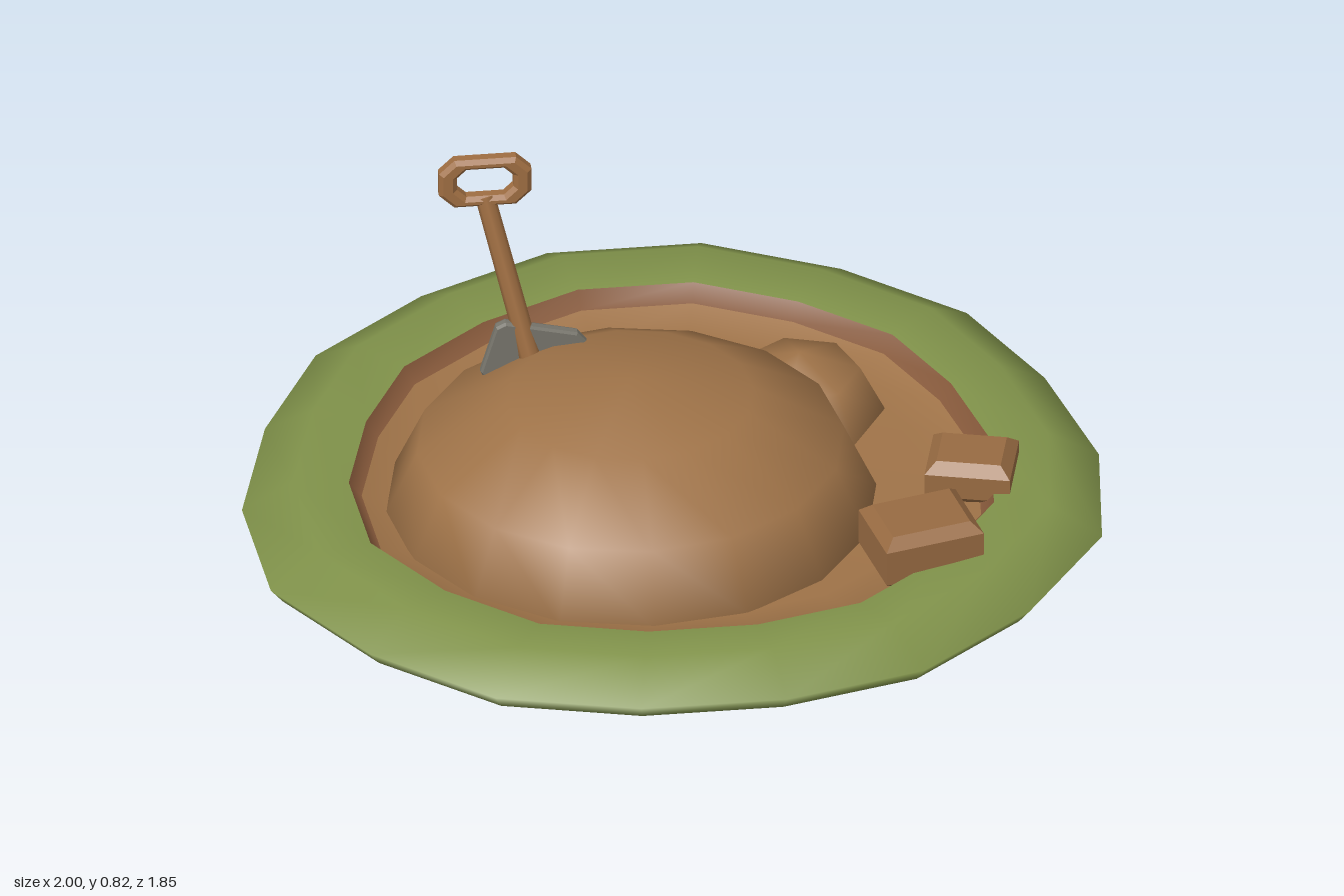
import * as THREE from 'three';

const mat = (name, color) => {
  const m = new THREE.MeshStandardMaterial({ color });
  m.name = name;
  return m;
};

// Half outline of the plot from back to front, mirrored to a closed loop
const half = [[0.18, -0.93], [0.49, -0.79], [0.76, -0.58], [0.91, -0.3], [1, 0.02],
  [0.97, 0.35], [0.77, 0.63], [0.5, 0.84], [0.17, 0.92]];
const outline = [...half, ...half.slice().reverse().map(([x, z]) => [-x, z])];

// Skin of scaled outlines; rows are [scale, height, material index of the band above]
function loft(rows) {
  const n = outline.length, pos = [], idx = [];
  const geo = new THREE.BufferGeometry();
  rows.forEach(([k, y]) => outline.forEach(([x, z]) => pos.push(x * k, y, z * k)));
  for (let i = 0; i < rows.length - 1; i++) {
    geo.addGroup(idx.length, n * 6, rows[i][2] || 0);
    for (let j = 0; j < n; j++) {
      const a = i * n + j, b = i * n + (j + 1) % n;
      idx.push(a, a + n, b, b, a + n, b + n);
    }
  }
  geo.setAttribute('position', new THREE.Float32BufferAttribute(pos, 3));
  geo.setIndex(idx);
  geo.computeVertexNormals();
  return geo;
}

const polygon = (pts) => new THREE.Shape(pts.map(([x, y]) => new THREE.Vector2(x, y)));

// Octagon with clipped corners
const octagon = (w, h, c) => [[w, h - c], [w - c, h], [c - w, h], [-w, h - c],
  [-w, c - h], [c - w, -h], [w - c, -h], [w, c - h]];

export function createModel() {
  const root = new THREE.Group();
  const grass = mat('grass green', 0x80924a);
  const soil = mat('soil brown', 0x9f7348);
  const edge = mat('red earth', 0x85583a);
  const clodMat = mat('clod brown', 0x986b42);
  const wood = mat('wood brown', 0x9f6e42);
  const metal = mat('metal grey', 0x77756c);

  const add = (name, geo, material, x = 0, y = 0, z = 0) => {
    const m = new THREE.Mesh(geo, material);
    m.name = name;
    m.position.set(x, y, z);
    root.add(m);
    return m;
  };

  // Grass rim with closed underside, and the sunken pit
  add('grassRim', loft([[0, 0], [0.97, 0], [1, 0.04], [0.88, 0.11], [0.75, 0.095]]), [grass]);
  add('pit', loft([[0.75, 0.095, 0], [0.72, 0.055, 1], [0.6, 0.036, 1], [0, 0.033]]), [edge, soil]);

  // Heaps of soil
  const dome = (name, sides, rows, x, z, rx, ry, rz, turn) => {
    const geo = new THREE.SphereGeometry(1, sides, rows, 0, Math.PI * 2, 0, Math.PI / 2);
    geo.rotateY(turn);
    add(name, geo, soil, x, 0.034, z).scale.set(rx, ry, rz);
  };
  dome('largeMound', 16, 3, -0.1, 0.075, 0.575, 0.346, 0.525, 0);
  dome('smallMound', 7, 2, 0.33, -0.24, 0.2, 0.168, 0.185, 0.37);

  // Bevelled clods of earth
  const clod = (name, w, h, d, x, y, z, turn) => {
    const b = 0.025, a = w / 2 - b, c = d / 2 - b;
    const geo = new THREE.ExtrudeGeometry(polygon([[-a, -c], [a, -c], [a, c], [-a, c]]),
      { depth: h - 2 * b, bevelEnabled: true, bevelThickness: b, bevelSize: b, bevelSegments: 1 });
    geo.translate(0, 0, b);
    geo.rotateX(-Math.PI / 2);
    add(name, geo, clodMat, x, y, z).rotation.y = turn;
  };
  clod('largeClod', 0.24, 0.14, 0.19, 0.54, 0.05, 0.42, 0.24);
  clod('smallClod', 0.2, 0.11, 0.165, 0.69, 0.05, 0.135, -0.24);

  // Spade blade stuck in the mound
  const blade = polygon([[-0.42, 0.27], [-0.385, 0.39], [-0.365, 0.4], [-0.2, 0.36],
    [-0.18, 0.335], [-0.22, 0.2], [-0.36, 0.16]].reverse());
  add('spadeBlade', new THREE.ExtrudeGeometry(blade,
    { depth: 0.014, bevelThickness: 0.008, bevelSize: 0.004, bevelSegments: 1 }), metal, 0, 0, -0.162);

  // Leaning shaft
  const top = new THREE.Vector3(-0.405, 0.71, -0.232), foot = new THREE.Vector3(-0.31, 0.31, -0.14);
  const axis = top.clone().sub(foot);
  const mid = top.clone().add(foot).multiplyScalar(0.5);
  add('spadeShaft', new THREE.CylinderGeometry(0.023, 0.025, axis.length(), 8), wood, mid.x, mid.y, mid.z)
    .quaternion.setFromUnitVectors(new THREE.Vector3(0, 1, 0), axis.normalize());

  // Looped grip
  const grip = polygon(octagon(0.097, 0.055, 0.03));
  grip.holes.push(new THREE.Path(polygon(octagon(0.077, 0.049, 0.026)).getPoints().reverse()
    .map((p) => new THREE.Vector2(p.x, p.y * 0.98))));
  grip.holes[0] = new THREE.Path(polygon(octagon(0.076, 0.05, 0.028)).getPoints().reverse());
  const ring = polygon(octagon(0.098, 0.056, 0.03));
  ring.holes.push(new THREE.Path(polygon(octagon(0.075, 0.05, 0.028)).getPoints().reverse()));
  ring.holes[0] = new THREE.Path(polygon(octagon(0.077, 0.052, 0.028)).getPoints().reverse());
  ring.holes[0] = new THREE.Path(polygon(octagon(0.076, 0.048, 0.028)).getPoints().reverse());
  add('spadeGrip', new THREE.ExtrudeGeometry(ring,
    { depth: 0.02, bevelThickness: 0.01, bevelSize: 0.01, bevelSegments: 1 }), wood, -0.405, 0.755, -0.24);

  return root;
}
